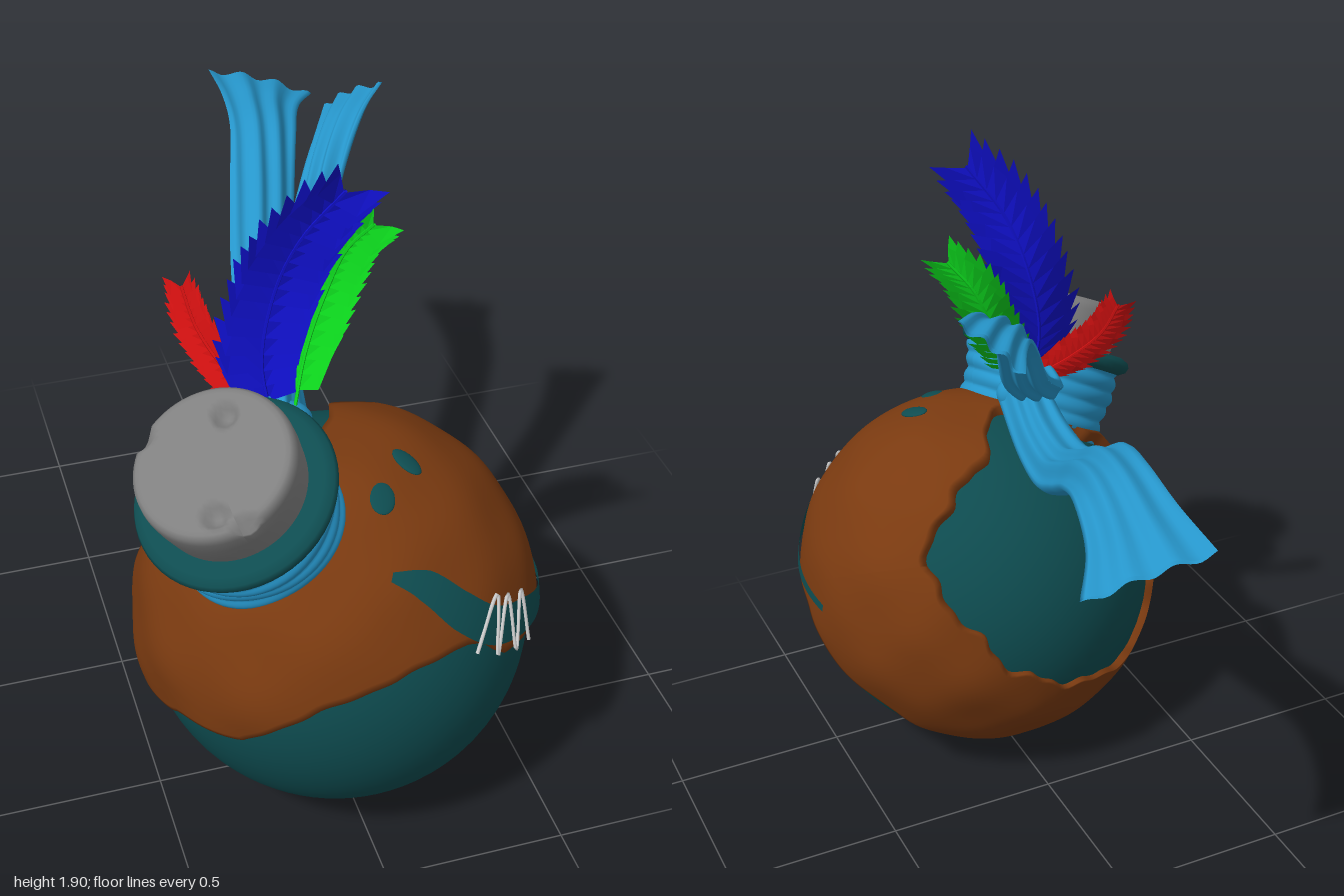
import * as THREE from 'three';

const V = (x, y, z) => new THREE.Vector3(x, y, z);
const CENTER = V(0.01, 0.522, 0.478), R = 0.522;

const mat = (color, extra = {}) => new THREE.MeshStandardMaterial({ color, side: THREE.DoubleSide, ...extra });
const TEAL = mat(0x0e4c50), LEATHER = mat(0x7a3a10), CLOTH = mat(0x2696cb), CORK = mat(0x808080), WIRE = mat(0xcccccc);

function add(parent, name, geometry, material) {
  const mesh = new THREE.Mesh(geometry, material);
  mesh.name = name;
  parent.add(mesh);
  return mesh;
}

// Surface from a rule f(u, v) -> Vector3 on a regular grid
function grid(nu, nv, f) {
  const pos = [], index = [];
  for (let i = 0; i <= nu; i++)
    for (let j = 0; j <= nv; j++) pos.push(...f(i / nu, j / nv).toArray());
  for (let i = 0; i < nu; i++)
    for (let j = 0; j < nv; j++) {
      const a = i * (nv + 1) + j, b = a + nv + 1;
      index.push(a, b, a + 1, b, b + 1, a + 1);
    }
  const g = new THREE.BufferGeometry();
  g.setAttribute('position', new THREE.Float32BufferAttribute(pos, 3));
  g.setIndex(index);
  g.computeVertexNormals();
  return g;
}

const curve = (pts) => new THREE.CatmullRomCurve3(pts.map((p) => V(...p)));

// Push vertices inward around each pit
function dent(g, pits, radius, depth, dir) {
  const p = g.attributes.position, v = V(0, 0, 0);
  for (let i = 0; i < p.count; i++) {
    v.fromBufferAttribute(p, i);
    for (const c of pits) {
      const d = v.distanceTo(c) / radius;
      if (d < 1) v.addScaledVector(dir, depth * (1 - d * d));
    }
    p.setXYZ(i, v.x, v.y, v.z);
  }
  g.computeVertexNormals();
  return g;
}

// Leather shell: a band between two closed outlines on the ball
const AXIS = V(-0.25, 0.5, -0.83).normalize();
const TO_POLE = new THREE.Quaternion().setFromUnitVectors(AXIS, V(0, 1, 0));
const FROM_POLE = TO_POLE.clone().invert();
const HOLE = [[.57, .5, -.65], [.4, .72, -.52], [.147, .89, -.43], [-.17, .985, -.03], [-.48, .85, -.2], [-.78, .62, -.1], [-.88, .39, -.26],
  [-.87, .08, -.49], [-.66, -.36, -.66], [-.42, -.33, -.84], [0, -.2, -.98], [.41, .195, -.89]];
const HEM = [[1, -.02, .05], [.9, .07, .42], [.58, .215, .78], [.36, .385, .85], [0, .33, .94], [-.39, .18, .9], [-.67, -.06, .73],
  [-.9, -.13, .38], [-.97, -.25, .05], [-.8, -.55, -.15], [-.46, -.63, -.63], [.185, -.76, -.625], [.71, -.51, -.5], [.975, -.17, -.115]];

function outline(points) {
  const tau = Math.PI * 2;
  const polar = points.map((p) => {
    const d = V(...p).normalize().applyQuaternion(TO_POLE);
    return [(Math.atan2(d.z, d.x) + tau) % tau, Math.acos(d.y)];
  }).sort((a, b) => a[0] - b[0]);
  const n = polar.length;
  const ring = [[polar[n - 1][0] - tau, polar[n - 1][1]], ...polar, [polar[0][0] + tau, polar[0][1]]];
  return (phi) => {
    let i = 0;
    while (i < n && ring[i + 1][0] < phi) i++;
    const [a, b] = [ring[i], ring[i + 1]];
    const t = (phi - a[0]) / Math.max(1e-6, b[0] - a[0]);
    return THREE.MathUtils.lerp(a[1], b[1], t * t * (3 - 2 * t) * 0.5 + t * 0.5);
  };
}

// Leather stands further off the ball at the top and the sides
const leatherLift = (d) => 0.014 + 0.014 * Math.max(0, d.y) + 0.011 * Math.abs(d.x);

function leatherShell() {
  const hole = outline(HOLE), hem = outline(HEM);
  return grid(180, 44, (u, v) => {
    const phi = u * Math.PI * 2;
    const s = THREE.MathUtils.clamp((v * 44 - 1) / 42, 0, 1);
    const jag = 0.022 * Math.sin(phi * 11) + 0.012 * Math.sin(phi * 23 + 1);
    const th = THREE.MathUtils.lerp(hole(phi) + jag, hem(phi) + jag * 0.25, s);
    const d = V(Math.sin(th) * Math.cos(phi), Math.cos(th), Math.sin(th) * Math.sin(phi)).applyQuaternion(FROM_POLE);
    const bump = 0.006 * Math.sin(d.x * 9 + 1) * Math.sin(d.y * 11) * Math.sin(d.z * 8 + 2);
    const r = v === 0 || v === 1 ? R - 0.005 : R + leatherLift(d) + bump;
    return d.multiplyScalar(r).add(CENTER);
  });
}

function onLeather(x, y, z, lift) {
  const d = V(x, y, z).sub(CENTER).normalize();
  return d.multiplyScalar(R + leatherLift(d) + lift).add(CENTER);
}

// Slash in the leather: a strip following the ball, [x, y, z, half width]
const SLASH = [[.03, .905, .84, .012], [.11, .875, .86, .04], [.2, .805, .9, .05], [.3, .74, .91, .05], [.4, .675, .82, .046],
  [.48, .615, .69, .028], [.52, .59, .56, .016], [.54, .575, .38, .012]];
const slashLine = curve(SLASH.map(([x, y, z]) => onLeather(x, y, z, 0).toArray()));
function slashPoint(t, side, lift) {
  const p = slashLine.getPoint(t), k = t * (SLASH.length - 1), i = Math.min(Math.floor(k), SLASH.length - 2);
  const w = THREE.MathUtils.lerp(SLASH[i][3], SLASH[i + 1][3], k - i);
  const across = p.clone().sub(CENTER).cross(slashLine.getTangent(t)).normalize();
  p.addScaledVector(across, side * w);
  return onLeather(p.x, p.y, p.z, lift);
}

// Feather: a thin quill with overlapping pointed barbs on both sides
function feather(parent, name, pts, side, width, color) {
  const path = curve(pts), n = 15, pos = [], group = new THREE.Group();
  group.name = name;
  parent.add(group);
  for (let i = 0; i < n; i++) {
    const t = 0.1 + 0.83 * i / (n - 1);
    const w = width * Math.min(1, 0.6 + t * 1.6) * (1 - 0.5 * Math.pow(t, 4));
    const tan = path.getTangent(t), dir = V(...side).addScaledVector(tan, -V(...side).dot(tan)).normalize();
    const up = V(0, 0, 0).crossVectors(dir, tan);
    const a = path.getPoint(t), c = path.getPoint(Math.min(1, t + 0.06));
    for (const s of [-1, 1]) {
      const at = (out, along, lift) => a.clone().addScaledVector(dir, s * out * w).addScaledVector(tan, along * width).addScaledVector(up, lift * width);
      const low = at(0.8, 0.1, 0.16), tip = at(1.05, 0.95, 0.06 * (i % 3)), high = at(0.6, 0.7, 0);
      for (const tri of [[a, low, high], [low, tip, high], [a, high, c]])
        for (const q of tri) pos.push(q.x, q.y, q.z);
    }
  }
  const g = new THREE.BufferGeometry();
  g.setAttribute('position', new THREE.Float32BufferAttribute(pos, 3));
  g.computeVertexNormals();
  const material = mat(color, { flatShading: true });
  add(group, name + 'Barbs', g, material);
  add(group, name + 'Quill', new THREE.TubeGeometry(path, 24, 0.005, 5), material);
}

// Ribbon: thick pleated cloth between two edge curves, thinning to its end
function ribbon(left, right, thick) {
  const a = curve(left), b = curve(right), N = 24;
  return grid(60, N * 2, (u, v) => {
    const s = v <= 0.5 ? v * 2 : 2 - v * 2;
    const p = a.getPoint(u), q = b.getPoint(u);
    const up = q.clone().sub(p).cross(a.getTangent(u).add(b.getTangent(u))).normalize();
    const pleat = 0.009 * Math.sin(s * 19 + u * 2) + 0.012 * Math.sin(s * Math.PI);
    const body = (v <= 0.5 ? 1 : -1) * thick * Math.sqrt(Math.sin(s * Math.PI) + 1e-6) * (1 - 0.85 * u * u);
    return p.lerp(q, s).addScaledVector(up, pleat + body);
  });
}

export function createModel() {
  const model = new THREE.Group();
  model.name = 'potionFlask';

  // Round body with a shallow pit underneath
  const ball = new THREE.SphereGeometry(R, 72, 48);
  const pitDir = V(0.48, -0.85, -0.23).normalize();
  dent(ball, [pitDir.clone().multiplyScalar(R)], 0.1, 0.02, pitDir.clone().negate());
  add(model, 'flaskBody', ball, TEAL).position.copy(CENTER);
  add(model, 'leatherCover', leatherShell(), LEATHER);

  // Openings in the leather
  add(model, 'leatherSlash', grid(50, 6, (u, v) => slashPoint(u, v * 2 - 1, 0.007)), TEAL);
  for (const [x, y, z, sx] of [[0.06, 1.02, 0.68, 0.034], [0.15, 1.0, 0.57, 0.028]]) {
    const spot = add(model, 'leatherSpot', new THREE.SphereGeometry(1, 20, 10), TEAL);
    spot.position.copy(onLeather(x, y, z, 0));
    spot.scale.set(sx, 0.048, 0.008);
    spot.lookAt(spot.position.clone().multiplyScalar(2).sub(CENTER));
    spot.rotateZ(-0.5);
  }

  // Stitches zigzagging over the slash
  const stitch = [];
  for (let i = 0; i < 7; i++) stitch.push(slashPoint(0.38 + i * 0.034, i % 2 ? 1.55 : -1.55, 0.014).toArray());
  add(model, 'stitches', new THREE.TubeGeometry(curve(stitch), 90, 0.005, 6), WIRE);

  // Tilted neck with cloth wrap, rim and stopper
  const neck = new THREE.Group();
  neck.name = 'neck';
  neck.position.set(-0.31, 1.115, 0.66);
  neck.quaternion.setFromUnitVectors(V(0, 1, 0), V(-0.4, 0.86, 0.3).normalize());
  model.add(neck);
  const lathe = (pts, seg = 56) => new THREE.LatheGeometry(pts.map(([x, y]) => new THREE.Vector2(x, y)), seg);
  const rim = [[0.19, -0.03], [0.235, -0.028], [0.256, -0.016], [0.262, 0], [0.256, 0.014], [0.235, 0.025], [0.17, 0.025]];
  add(neck, 'rim', lathe(rim), TEAL);

  const wrap = grid(72, 48, (u, v) => {
    const a = -u * Math.PI * 2, y = -0.025 - v * 0.225;
    const fold = 0.009 * Math.abs(Math.sin(v * 15 + 0.9 * Math.sin(a + 1))) + 0.004 * Math.sin(a * 3 + v * 9);
    const r = 0.21 + 0.02 * (1 - v) + fold;
    return V(Math.cos(a) * r, y, Math.sin(a) * r);
  });
  add(neck, 'clothWrap', wrap, CLOTH);

  const cork = [[0.19, 0], [0.197, 0.05], [0.203, 0.1], [0.205, 0.14], [0.202, 0.16], [0.192, 0.17]];
  for (let i = 1; i <= 16; i++) cork.push([0.192 * (1 - i / 16), 0.172]);
  const pits = [[0.07, -0.1], [-0.04, 0.14], [0.02, 0.2], [-0.14, -0.15]].map(([x, z]) => V(x, 0.168, z));
  add(neck, 'stopper', dent(lathe(cork, 80), pits, 0.036, 0.03, V(0, -1, 0)), CORK);

  // Knot and the two trailing ribbons
  const knot = add(model, 'knot', new THREE.SphereGeometry(0.07, 24, 16), CLOTH);
  knot.position.set(-0.12, 1.12, 0.43);
  knot.scale.set(1.1, 0.85, 0.75);
  add(model, 'longRibbon', ribbon(
    [[-.2, 1.13, .44], [-.16, 1.11, .2], [-.13, 1.13, 0], [-.09, 1.23, -.2], [-.03, 1.37, -.42], [.02, 1.42, -.6], [.05, 1.42, -.8], [.06, 1.41, -1]],
    [[-.05, 1.1, .44], [0, 1.05, .2], [.04, 1.06, 0], [.09, 1.16, -.2], [.16, 1.29, -.42], [.22, 1.36, -.6], [.29, 1.35, -.8], [.37, 1.32, -.93]],
    0.045), CLOTH);
  add(model, 'shortRibbon', ribbon(
    [[-.22, 1.17, .4], [-.17, 1.2, .25], [-.06, 1.3, .12], [.03, 1.45, 0], [.1, 1.54, -.1], [.17, 1.58, -.22], [.23, 1.59, -.34]],
    [[-.09, 1.14, .44], [-.04, 1.19, .3], [.05, 1.3, .2], [.12, 1.46, .08], [.19, 1.59, -.02], [.27, 1.67, -.12], [.35, 1.7, -.21]],
    0.036), CLOTH);

  // Feathers tucked behind the knot
  feather(model, 'blueFeather', [[-.15, 1.13, .45], [-.17, 1.3, .41], [-.135, 1.5, .405], [-.08, 1.67, .45], [.01, 1.81, .5]],
    [0.97, -0.2, 0.16], 0.118, 0x1010cc);
  feather(model, 'greenFeather', [[-.1, 1.15, .45], [-.04, 1.28, .36], [.03, 1.42, .31], [.08, 1.53, .31], [.14, 1.61, .34]],
    [0.8, -0.3, 0.5], 0.085, 0x0cd01c);
  feather(model, 'redFeather', [[-.16, 1.15, .44], [-.24, 1.24, .35], [-.3, 1.34, .27], [-.325, 1.44, .22]],
    [0.75, 0.2, 0.55], 0.062, 0xd01010);
  return model;
}
